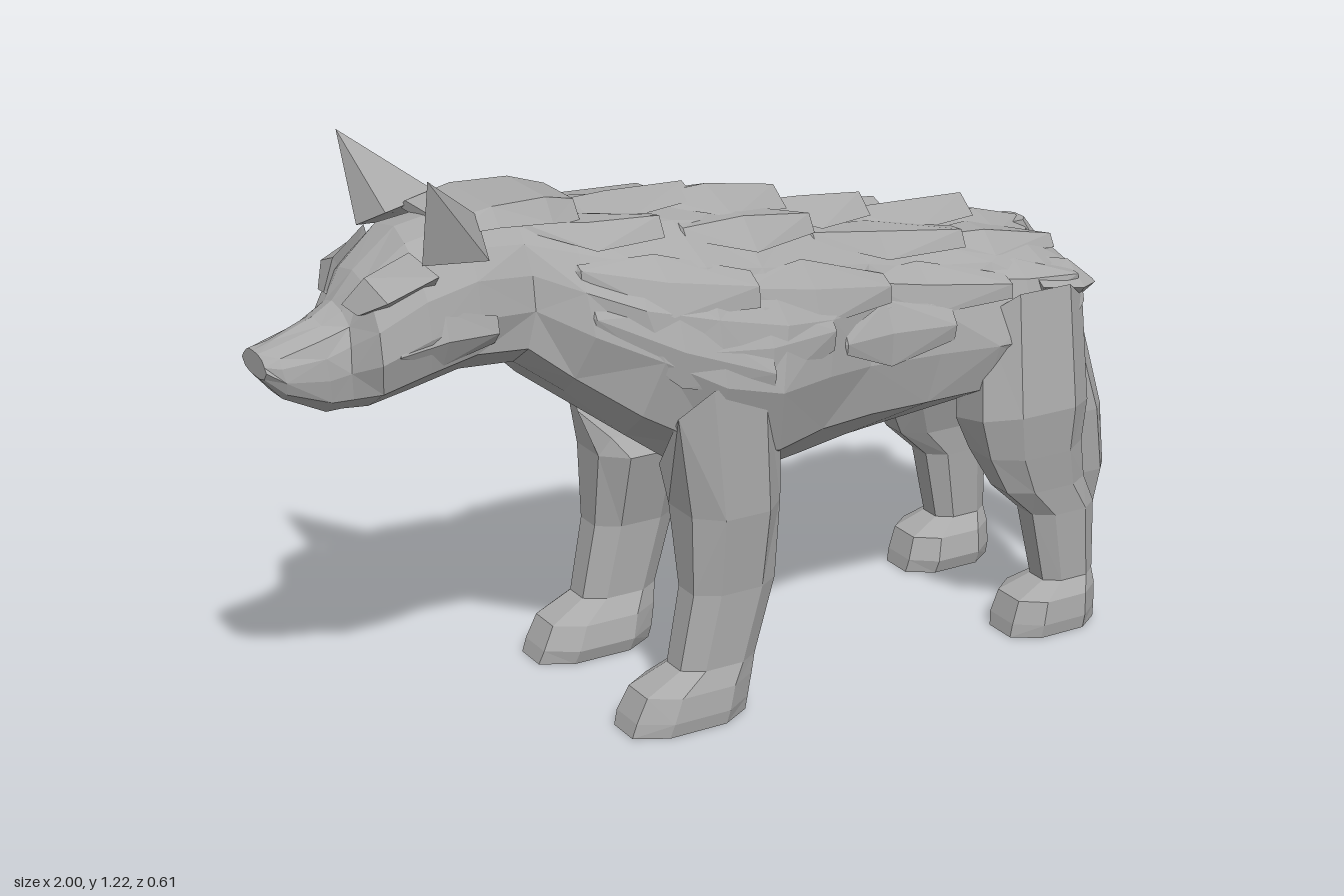
import * as THREE from 'three';

const grey = new THREE.MeshStandardMaterial({ color: 0xaaaaaa });
grey.name = 'grey fur';

// Closed faceted solid lofted through rings of equal point count
function solid(name, rings) {
  const n = rings[0].length, tris = [];
  for (let i = 0; i < rings.length - 1; i++) {
    for (let j = 0; j < n; j++) {
      const k = (j + 1) % n;
      const a = rings[i][j], b = rings[i][k], c = rings[i + 1][k], d = rings[i + 1][j];
      if ((i + j) % 2) tris.push([a, b, c], [a, c, d]);
      else tris.push([a, b, d], [b, c, d]);
    }
  }
  const middle = (r) => r.reduce((s, p) => s.add(p), new THREE.Vector3()).divideScalar(n);
  const first = rings[0], last = rings[rings.length - 1];
  const m0 = middle(first), m1 = middle(last);
  for (let j = 0; j < n; j++) {
    const k = (j + 1) % n;
    tris.push([m0, first[k], first[j]], [m1, last[j], last[k]]);
  }
  // Turn the faces outward by the sign of the volume, dropping empty ones
  const cross = new THREE.Vector3();
  let volume = 0;
  for (const [a, b, c] of tris) {
    volume += cross.copy(b).sub(m0).cross(c.clone().sub(m0)).dot(a.clone().sub(m0));
  }
  const points = [];
  for (const [a, b, c] of tris) {
    const area = cross.copy(b).sub(a).cross(c.clone().sub(a)).length();
    if (area > 1e-9) points.push(...(volume > 0 ? [a, b, c] : [a, c, b]));
  }
  const geometry = new THREE.BufferGeometry().setFromPoints(points);
  geometry.computeVertexNormals();
  const mesh = new THREE.Mesh(geometry, grey);
  mesh.name = name;
  return mesh;
}

// Repeatable irregularity, -1 to 1
const noise = (i) => {
  const s = Math.sin(i * 127.1 + 3.7) * 43758.5453;
  return (s - Math.floor(s)) * 2 - 1;
};

// Nose to rump: x, bottom, top, half width
const stations = [
  [-1.0, 0.83, 0.88, 0.055], [-0.965, 0.785, 0.893, 0.07], [-0.88, 0.74, 0.925, 0.078],
  [-0.835, 0.742, 0.95, 0.09], [-0.8, 0.75, 1.005, 0.145], [-0.71, 0.77, 1.075, 0.175],
  [-0.6, 0.787, 1.095, 0.165], [-0.49, 0.775, 1.085, 0.155], [-0.4, 0.70, 1.065, 0.205],
  [-0.28, 0.60, 1.055, 0.265], [-0.14, 0.50, 1.045, 0.295], [0.0, 0.46, 1.025, 0.295],
  [0.13, 0.475, 0.985, 0.265], [0.26, 0.485, 0.955, 0.225], [0.4, 0.495, 0.92, 0.225],
  [0.55, 0.505, 0.9, 0.24], [0.7, 0.54, 0.865, 0.245], [0.785, 0.65, 0.82, 0.205],
];
// Half cross-section, from spine to belly: sideways, height
const section = [[0, 1], [0.38, 0.93], [0.71, 0.68], [0.92, 0.33], [1, -0.14], [0.85, -0.65], [0.4, -0.98]];

// Point on the body skin: u runs 0 at the spine to 6 at the belly, negative for -z
function skin(x, u, lift = 0) {
  let i = 0;
  while (i < stations.length - 2 && x > stations[i + 1][0]) i++;
  const t = (x - stations[i][0]) / (stations[i + 1][0] - stations[i][0]);
  const [, y0, y1, w] = stations[i].map((v, k) => THREE.MathUtils.lerp(v, stations[i + 1][k], t));
  const au = Math.min(Math.abs(u), 6), k = Math.min(Math.floor(au), 5), f = au - k;
  const sz = THREE.MathUtils.lerp(section[k][0], section[k + 1][0], f) * (u < 0 ? -1 : 1);
  const sy = THREE.MathUtils.lerp(section[k][1], section[k + 1][1], f);
  const r = Math.hypot(sz, sy);
  return new THREE.Vector3(x, (y0 + y1) / 2 + (sy * (y1 - y0)) / 2 + (lift * sy) / r, sz * w + (lift * sz) / r);
}

// Chunky lock of fur rising from the skin and ending bluntly at the back
function tuft(name, x, u, length, width, lift, drop = 0) {
  const steps = [[0, 0.3, 0], [0.45, 1, 0.55], [1, 0.5, 1]];
  return solid(name, steps.map(([t, w, h]) => {
    const px = x + length * t, c = u + drop * t, half = (width * w) / 2;
    return [
      skin(px, c - half, lift * h * 0.5 - 0.004), skin(px, c, lift * h + 0.004),
      skin(px, c + half, lift * h * 0.5 - 0.004), skin(px - 0.02, c, -0.012),
    ];
  }));
}

// Upright limb from levels of y, x0, x1, z0, z1 and rise toward the outer side
function limb(name, levels, side = 1) {
  const c = 0.5;
  const outline = [[-1, -c], [-c, -1], [c, -1], [1, -c], [1, c], [c, 1], [-c, 1], [-1, c]];
  return solid(name, levels.map(([y, x0, x1, z0, z1, rise = 0]) => outline.map(([a, b]) => new THREE.Vector3(
    (x0 + x1) / 2 + (a * (x1 - x0)) / 2, y + b * rise, side * ((z0 + z1) / 2 + (b * (z1 - z0)) / 2)))));
}

export function createModel() {
  const model = new THREE.Group();
  model.name = 'wolf';

  // Head, neck and trunk
  const us = [0, 1, 2, 3, 4, 5, 6, -6, -5, -4, -3, -2, -1];
  model.add(solid('body', stations.map(([x], i) => us.map((u, j) => {
    const p = skin(x, u), amount = i < 7 ? 0.004 : 0.01;
    if (i > 0 && i < stations.length - 1) p.x += noise(i * 13 + j) * amount * 2;
    p.y += noise(i * 13 + j + 400) * amount * 0.6;
    p.z += noise(i * 13 + j + 800) * amount;
    return p;
  }))));

  // Flat ruff lying over the back of the neck
  const ruff = (x, y, w, depth) => [[y - depth, -w - 0.03], [y, -w], [y, w], [y - depth, w + 0.03]]
    .map(([py, z]) => new THREE.Vector3(x, py, z));
  model.add(solid('neckRuff', [
    ruff(-0.64, 1.095, 0.08, 0.02), ruff(-0.54, 1.113, 0.09, 0.035),
    ruff(-0.42, 1.11, 0.08, 0.045), ruff(-0.35, 1.09, 0.06, 0.04),
  ]));

  for (const side of [1, -1]) {
    const at = (x, y, z) => new THREE.Vector3(x, y, z * side);
    const sideName = side > 0 ? 'left' : 'right';

    // Ears
    const tip = at(-0.725, 1.22, 0.2);
    model.add(solid(sideName + 'Ear', [
      [at(-0.715, 1.04, 0.145), at(-0.68, 1.075, 0.085), at(-0.57, 1.1, 0.085), at(-0.58, 1.03, 0.155)],
      [tip, tip, tip, tip],
    ]));

    // Brow ridge over the eye, and cheek fringe
    model.add(solid(sideName + 'Brow', [
      [at(-0.835, 0.955, 0.04), at(-0.825, 0.945, 0.09), at(-0.8, 0.93, 0.05)],
      [at(-0.8, 1.01, 0.07), at(-0.79, 0.98, 0.15), at(-0.76, 0.95, 0.1)],
      [at(-0.72, 1.055, 0.1), at(-0.69, 1.02, 0.165), at(-0.69, 0.97, 0.12)],
    ]));
    model.add(tuft(sideName + 'Cheek', -0.77, side * 4, 0.2, 1.5, 0.012, side * 0.3));

    // Legs, with shoulder and thigh sloping up into the flank
    model.add(limb(sideName + 'FrontLeg', [
      [0.61, -0.225, 0.01, 0.13, 0.285, 0.12], [0.45, -0.19, 0.015, 0.098, 0.285],
      [0.28, -0.185, 0.005, 0.145, 0.265], [0.12, -0.215, -0.04, 0.15, 0.26],
      [0.08, -0.295, -0.05, 0.125, 0.275], [0.03, -0.32, -0.06, 0.115, 0.28], [0, -0.33, -0.065, 0.125, 0.275],
    ], side));
    model.add(limb(sideName + 'HindLeg', [
      [0.68, 0.53, 0.785, 0.075, 0.24, 0.1], [0.5, 0.515, 0.785, 0.085, 0.28, 0.02],
      [0.42, 0.54, 0.775, 0.11, 0.27], [0.335, 0.585, 0.785, 0.14, 0.26], [0.27, 0.655, 0.815, 0.145, 0.255],
      [0.11, 0.69, 0.82, 0.155, 0.25], [0.08, 0.62, 0.82, 0.125, 0.275],
      [0.03, 0.605, 0.82, 0.115, 0.28], [0, 0.6, 0.82, 0.125, 0.275],
    ], side));

    // Pointed lock at the back of the rump
    model.add(solid(sideName + 'RumpLock', [
      [at(0.66, 0.83, 0.15), at(0.66, 0.78, 0.23), at(0.68, 0.7, 0.21)],
      [at(0.78, 0.8, 0.15), at(0.77, 0.76, 0.225), at(0.78, 0.71, 0.17)],
      [at(0.82, 0.76, 0.185), at(0.82, 0.755, 0.195), at(0.81, 0.74, 0.18)],
    ]));

    // Rows of broad locks down the flank: height on the skin, lift, start, count
    const rows = [[1.2, 0.024, -0.44, 4], [2.4, 0.02, -0.38, 4], [3.5, 0.012, -0.42, 3]];
    rows.forEach(([u, lift, start, count], r) => {
      for (let i = 0; i < count; i++) {
        const seed = r * 10 + i + (side > 0 ? 0 : 90);
        const x = start + i * 0.29 + noise(seed) * 0.04;
        const length = Math.min(0.32 + noise(seed + 50) * 0.05, 0.77 - x);
        model.add(tuft(sideName + 'FlankLock', x, side * u, length, 1.3, lift, side * 0.3 * noise(seed + 7)));
      }
    });
  }

  // Stepped mane along the spine: start, length, lift
  [[-0.38, 0.32, 0.025], [-0.15, 0.29, 0.04], [0.07, 0.27, 0.045], [0.3, 0.3, 0.045], [0.55, 0.2, 0.02]]
    .forEach(([x, length, lift], i) => model.add(tuft('maneLock', x, noise(i) * 0.25, length, 2.0, lift)));

  // Hanging tail with side strands
  model.add(limb('tail', [
    [0.86, 0.7, 0.76, -0.035, 0.035], [0.74, 0.73, 0.85, -0.045, 0.045], [0.6, 0.79, 0.92, -0.05, 0.05],
    [0.4, 0.845, 0.975, -0.065, 0.065], [0.25, 0.87, 1.0, -0.09, 0.055], [0.1, 0.895, 0.985, -0.088, 0.022],
    [0.015, 0.9, 0.95, -0.045, 0.01],
  ]));
  model.add(limb('tailStrand', [
    [0.55, 0.84, 0.88, -0.06, -0.03], [0.35, 0.88, 0.97, -0.1, -0.03], [0.22, 0.9, 0.97, -0.1, -0.04], [0.14, 0.93, 0.95, -0.08, -0.05],
  ]));
  return model;
}
